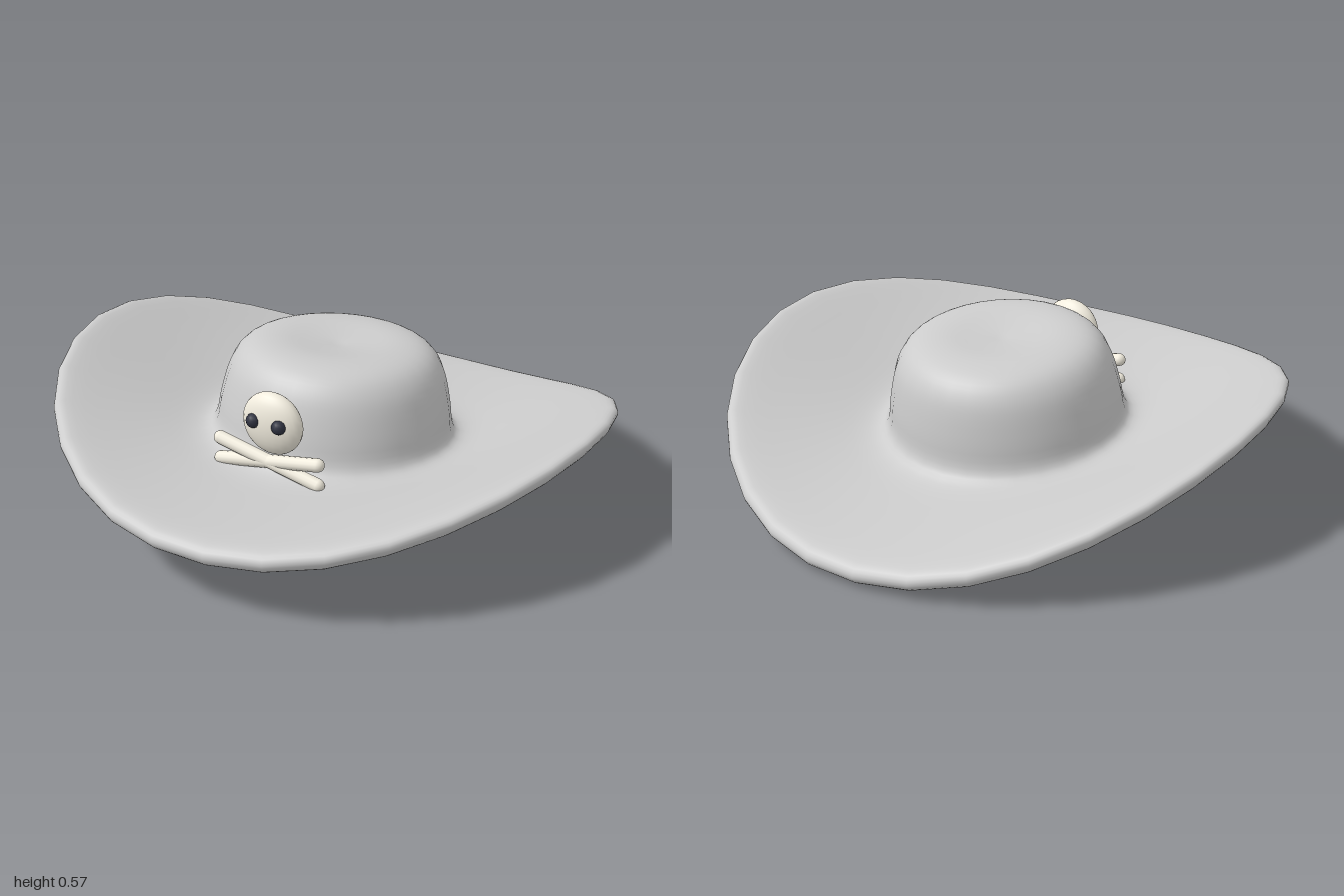
import * as THREE from 'three';
import { mergeVertices } from 'three/addons/utils/BufferGeometryUtils.js';

const felt = new THREE.MeshStandardMaterial({ color: 0xcccccc });
const bone = new THREE.MeshStandardMaterial({ color: 0xf0ebdd });
const dark = new THREE.MeshStandardMaterial({ color: 0x2f3240 });

function add(parent, name, geometry, material, x = 0, y = 0, z = 0) {
  const mesh = new THREE.Mesh(geometry, material);
  mesh.name = name;
  mesh.position.set(x, y, z);
  parent.add(mesh);
  return mesh;
}

// Closed hat shell: underside, rolled rim, brim top, crown with a dented top
function hatGeometry() {
  const profile = [
    [0, 0.06], [0.2, 0.06], [0.4, 0.061], [0.6, 0.07], [0.8, 0.085], [0.94, 0.102],
    [0.985, 0.117], [1.004, 0.146], [0.988, 0.174], [0.94, 0.187],
    [0.8, 0.188], [0.65, 0.188], [0.53, 0.192], [0.46, 0.21], [0.428, 0.25],
    [0.415, 0.33], [0.395, 0.42], [0.372, 0.48], [0.335, 0.525], [0.28, 0.55],
    [0.2, 0.557], [0.1, 0.546], [0, 0.535],
  ].map(([r, y]) => new THREE.Vector2(r, y));
  const points = new THREE.SplineCurve(profile).getPoints(66);
  points[0].x = points[points.length - 1].x = 0;

  let geo = new THREE.LatheGeometry(points, 32, Math.PI / 32);
  // Curl the brim upward at both sides
  const p = geo.attributes.position;
  for (let i = 0; i < p.count; i++) {
    const x = p.getX(i), r = Math.hypot(x, p.getZ(i));
    if (r <= 0.4) continue;
    // The curl fades out up the crown wall
    const fade = THREE.MathUtils.clamp((0.4 - p.getY(i)) / 0.15, 0, 1);
    const side = Math.abs(x) / r;
    const reach = (r - 0.4) / 0.6;
    p.setY(i, p.getY(i) + 0.29 * fade * side ** 2.2 * reach ** 1.15);
  }
  // Weld the seam for smooth normals
  geo.deleteAttribute('uv');
  geo.deleteAttribute('normal');
  geo = mergeVertices(geo, 1e-4);
  geo.computeVertexNormals();
  return geo;
}

export function createModel() {
  const model = new THREE.Group();
  model.name = 'hat';

  // Hat tipped so its front is higher
  const hat = add(model, 'brimAndCrown', hatGeometry(), felt, 0, -0.003, 0.012);
  hat.rotation.x = -0.1;

  // Skull and crossed bones on the crown front
  const emblem = new THREE.Group();
  emblem.name = 'emblem';
  model.add(emblem);

  const skull = add(emblem, 'skull', new THREE.SphereGeometry(0.115, 24, 16), bone, 0, 0.422, 0.405);
  skull.scale.z = 0.48;

  for (const s of [-1, 1]) {
    add(emblem, s > 0 ? 'leftEye' : 'rightEye',
      new THREE.SphereGeometry(0.026, 12, 8), dark, s * 0.05, 0.44, 0.45);
    const crossbone = add(emblem, s > 0 ? 'leftCrossbone' : 'rightCrossbone',
      new THREE.CapsuleGeometry(0.024, 0.395, 6, 12), bone, 0, 0.29, 0.438);
    crossbone.rotation.z = Math.PI / 2 + s * 0.2;
  }
  return model;
}
